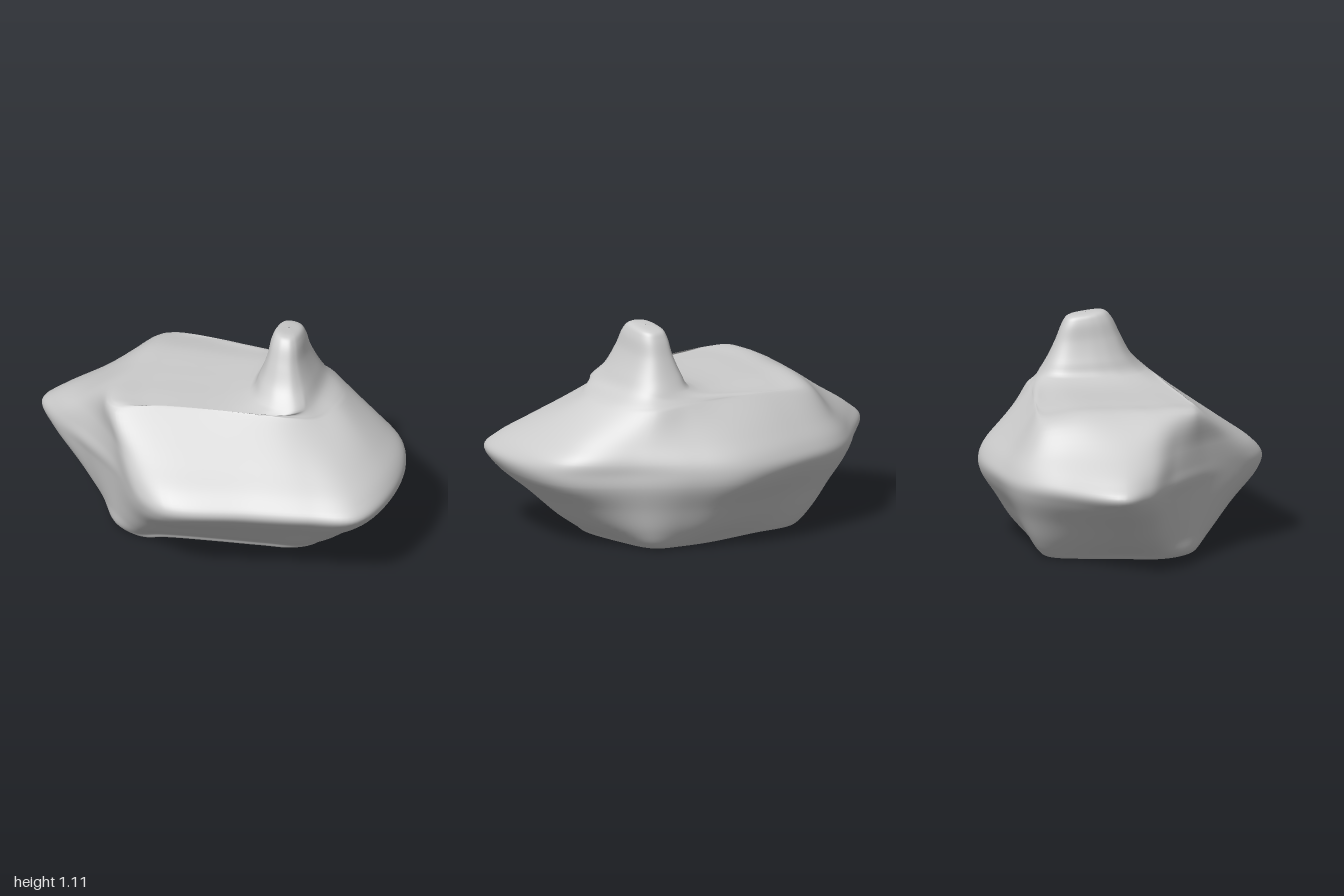
import * as THREE from 'three';

// Each row is one meridian: rim x,z | base edge x,z | plateau edge x,y,z | bulge of the flank
const meridians = [
  [-1, 0, -.52, .03, -.51, .76, 0, 1.035],
  [-.83, -.3, -.51, -.2, -.52, .755, -.22, 1.03],
  [-.66, -.52, -.46, -.4, -.5, .72, -.41, 1.025],
  [-.4, -.635, -.2, -.45, -.25, .73, -.45, 1.03],
  [0, -.725, .1, -.5, .05, .73, -.46, 1.045],
  [.28, -.66, .26, -.5, .22, .73, -.47, 1.035],
  [.55, -.53, .42, -.47, .4, .72, -.46, 1.03],
  [.87, -.34, .53, -.25, .57, .72, -.3, 1.05],
  [.99, .03, .59, .03, .61, .745, -.12, 1.045],
  [.945, .36, .51, .13, .56, .74, .03, 1.045],
  [.72, .47, .33, .19, .45, .76, .12, 1.05],
  [.42, .58, .12, .25, .27, .775, .19, 1.055],
  [.04, .715, -.17, .34, -.2, .77, .33, 1.06],
  [-.13, .67, -.28, .39, -.39, .755, .39, 1.02],
  [-.4, .43, -.41, .355, -.455, .755, .37, 1],
  [-.66, .265, -.5, .26, -.495, .76, .29, 1],
  [-.9, .13, -.53, .16, -.52, .76, .17, 1.03],
];

// Knob sections: y, centre x, centre z, half width x, half width z
const knob = [
  [.795, .315, -.14, .185, .275],
  [.87, .31, -.16, .14, .215],
  [.97, .305, -.165, .1, .165],
  [1.06, .302, -.17, .08, .125],
  [1.095, .3, -.175, .06, .095],
  [1.105, .3, -.175, .002, .002],
];

// Closed horizontal sections from the underside up to the knob tip
function makeSections() {
  const v = (x, y, z) => new THREE.Vector3(x, y, z);
  const rim = meridians.map(m => v(m[0], .425, m[1]));
  const base = meridians.map(m => v(m[2], .03, m[3]));
  const top = meridians.map(m => v(m[4], m[5], m[6]));
  const flat = s => base.map(p => v(p.x * s, 0, p.z * s));
  const blend = (a, b, t) => a.map((p, i) => p.clone().lerp(b[i], t));
  const flank = (a, b, t) => blend(a, b, t).map((p, i) => {
    const k = meridians[i][7];
    return p.multiply(v(k, 1, k));
  });
  // Rounded rectangles, slightly skewed and tilted towards the tip
  const square = c => Math.sign(c) * Math.abs(c) ** .75;
  const knobRings = knob.map(([y, cx, cz, a, b]) => rim.map(p => {
    const t = Math.atan2(p.z / .72, p.x);
    const dz = b * square(Math.sin(t));
    return v(cx + a * square(Math.cos(t)) + dz * .15, y + dz * (y - .795) * .4, cz + dz);
  }));
  const rings = [
    flat(.01), flat(.6), flat(.93), base,
    flank(base, rim, .2), flank(base, rim, .5), flank(base, rim, .82),
    rim, flank(rim, top, .2), flank(rim, top, .5), top,
    blend(top, knobRings[0], .3), ...knobRings,
  ];
  return rings.map(r => new THREE.CatmullRomCurve3(r, true, 'centripetal'));
}

// Smooth skin through the sections
function loft(curves, around, up) {
  const pos = [], index = [];
  for (let i = 0; i < around; i++) {
    const meridian = new THREE.CatmullRomCurve3(curves.map(c => c.getPoint(i / around)), false, 'centripetal');
    for (let j = 0; j <= up; j++) {
      const p = meridian.getPoint(j / up);
      pos.push(p.x, Math.max(0, p.y), p.z);
    }
  }
  const id = (i, j) => (i % around) * (up + 1) + j;
  for (let i = 0; i < around; i++) {
    for (let j = 0; j < up; j++) {
      const a = id(i, j), b = id(i + 1, j), c = id(i + 1, j + 1), d = id(i, j + 1);
      index.push(a, d, b, b, d, c);
    }
  }
  const g = new THREE.BufferGeometry();
  g.setAttribute('position', new THREE.Float32BufferAttribute(pos, 3));
  g.setIndex(index);
  g.computeVertexNormals();
  return g;
}

export function createModel() {
  const group = new THREE.Group();
  group.name = 'rock';
  const material = new THREE.MeshStandardMaterial({ color: 0xcccccc, roughness: .8 });
  const body = new THREE.Mesh(loft(makeSections(), 136, 102), material);
  body.name = 'rockBodyWithKnob';
  group.add(body);
  return group;
}
